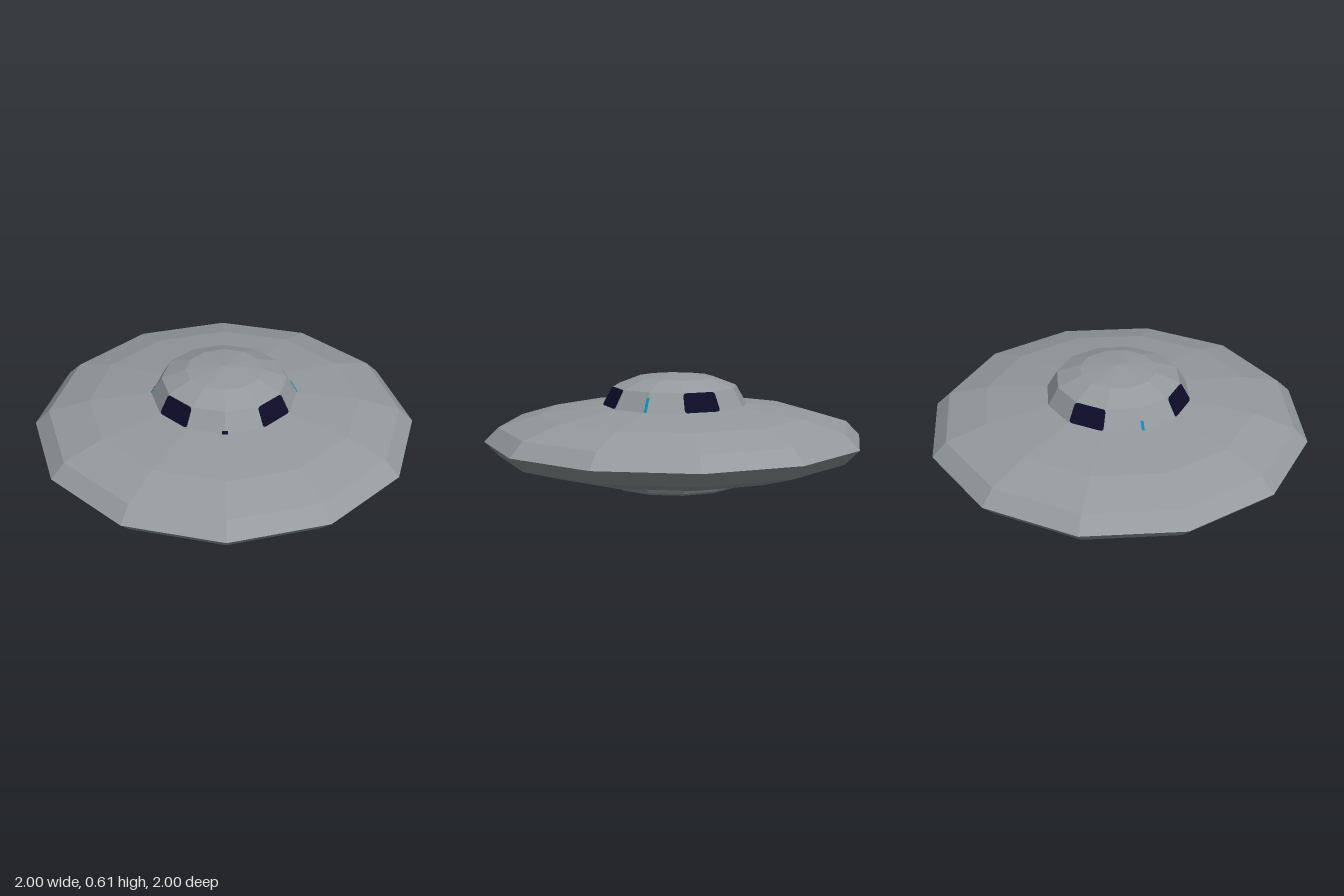
import * as THREE from 'three';

const SIDES = 12;
const STEP = (Math.PI * 2) / SIDES;
const toCorner = 1 / Math.cos(STEP / 2); // flat-to-flat radius -> corner radius

function flat(name, color) {
  const m = new THREE.MeshStandardMaterial({ color, flatShading: true });
  m.name = name;
  return m;
}

export function createModel() {
  const grey = flat('hull grey', 0x949a9d);
  const navy = flat('window navy', 0x0e0b28);
  const blue = flat('glow blue', 0x0c8abd);
  const model = new THREE.Group();
  model.name = 'flyingSaucer';

  // Twelve-sided turned part; profile gives [flat radius, height] from bottom to top
  function turned(name, profile, material) {
    const pts = profile.map(([r, y]) => new THREE.Vector2(r * toCorner, y));
    const mesh = new THREE.Mesh(new THREE.LatheGeometry(pts, SIDES, STEP / 2), material);
    mesh.name = name;
    model.add(mesh);
  }

  turned('engineGlow', [[0, 0.2], [0.29, 0.06]], blue);
  turned('engineRing', [[0.29, 0.06], [0.295, 0], [0.335, 0], [0.35, 0.012], [0.38, 0.06]], grey);
  turned('lowerHull', [[0.38, 0.06], [0.71, 0.107], [0.925, 0.172], [1, 0.25]], grey);
  turned('upperHull', [[1, 0.25], [0.925, 0.328], [0.71, 0.395], [0.38, 0.44]], grey);
  turned('dome', [[0.38, 0.44], [0.325, 0.54], [0.2, 0.59], [0, 0.612]], grey);

  // Thin plate leaning on the dome wall, its lower edge at the dome foot
  function plate(name, geometry, material, angle, radius) {
    const holder = new THREE.Group();
    holder.name = name;
    holder.rotation.y = angle;
    const mesh = new THREE.Mesh(geometry, material);
    mesh.name = name + 'Pane';
    mesh.position.set(0, 0.441, radius + 0.004);
    mesh.rotation.x = -Math.atan2(0.055, 0.1);
    holder.add(mesh);
    model.add(holder);
  }

  // Windows: a dome panel with softened corners
  const pane = new THREE.Shape();
  pane.moveTo(-0.08, 0.002);
  pane.lineTo(0.08, 0.002);
  pane.quadraticCurveTo(0.1, 0.002, 0.098, 0.02);
  pane.lineTo(0.09, 0.095);
  pane.quadraticCurveTo(0.088, 0.113, 0.07, 0.113);
  pane.lineTo(-0.07, 0.113);
  pane.quadraticCurveTo(-0.088, 0.113, -0.09, 0.095);
  pane.lineTo(-0.098, 0.02);
  pane.quadraticCurveTo(-0.1, 0.002, -0.08, 0.002);
  const paneGeometry = new THREE.ShapeGeometry(pane, 4);
  for (let i = 0; i < 4; i++) {
    plate('window', paneGeometry, navy, -STEP + (i * Math.PI) / 2, 0.38);
  }

  // Slim lights and a small vent on the dome's corner edges
  const strip = (w, h) => new THREE.PlaneGeometry(w, h).translate(0, h / 2, 0);
  plate('rearLight', strip(0.016, 0.085), blue, 3.5 * STEP, 0.38 * toCorner);
  plate('frontLight', strip(0.016, 0.05), blue, -2.5 * STEP, 0.38 * toCorner);
  plate('vent', strip(0.03, 0.018), navy, 0.5 * STEP, 0.38 * toCorner);

  return model;
}
